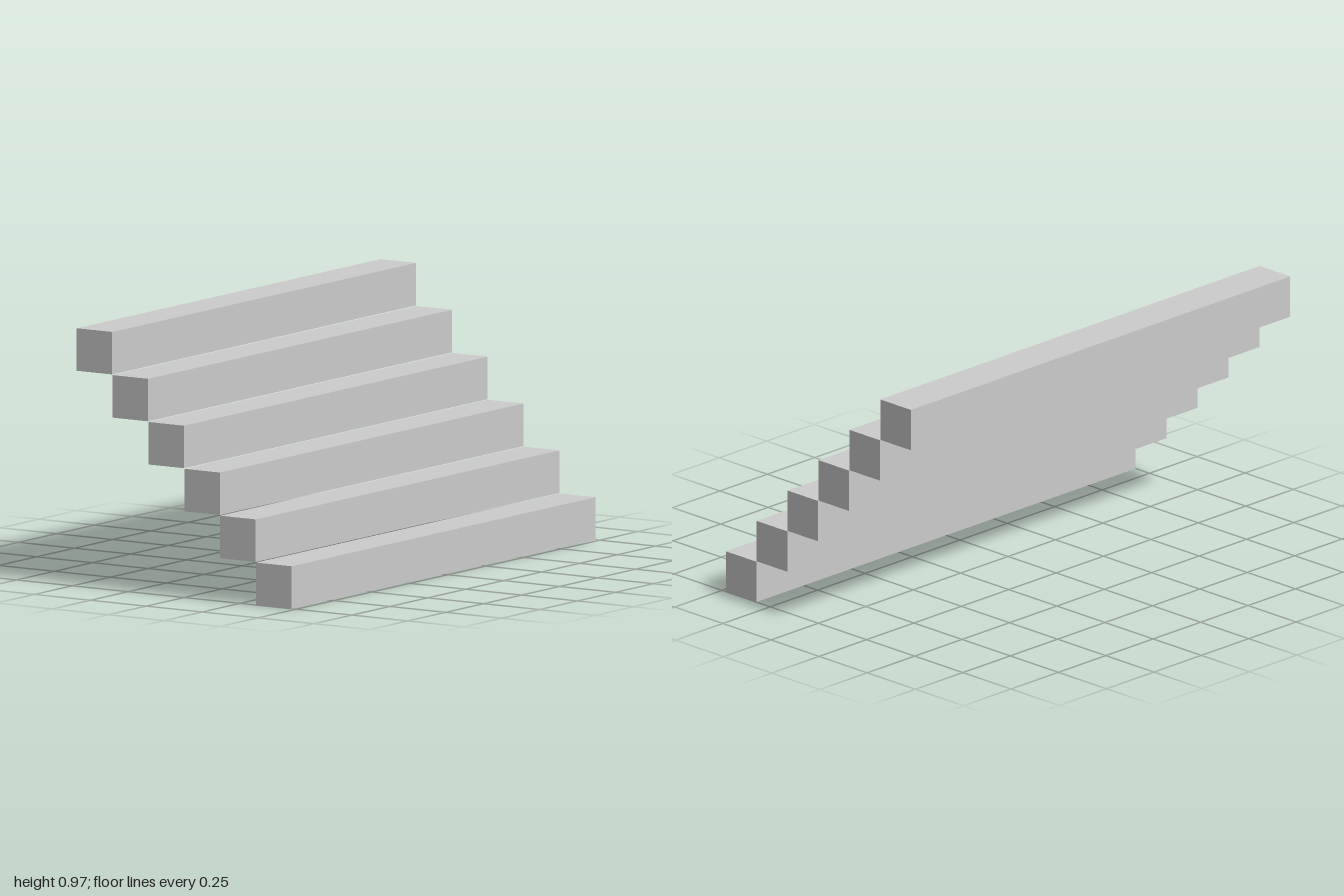
import * as THREE from 'three';

export function createModel() {
  const group = new THREE.Group();
  const material = new THREE.MeshStandardMaterial({ color: 0xcccccc, flatShading: true });

  const count = 6, size = 0.1592, length = 2;
  const run = 0.1605, rise = 0.1614; // slightly over the beam size, leaving hairline gaps
  const geometry = new THREE.BoxGeometry(size, size, length);

  // Square beams stacked as a staircase, climbing toward -x
  for (let i = 0; i < count; i++) {
    const step = new THREE.Mesh(geometry, material);
    step.name = `step${i + 1}`;
    step.position.set(((count - 1) / 2 - i) * run, size / 2 + i * rise, 0);
    group.add(step);
  }
  return group;
}
